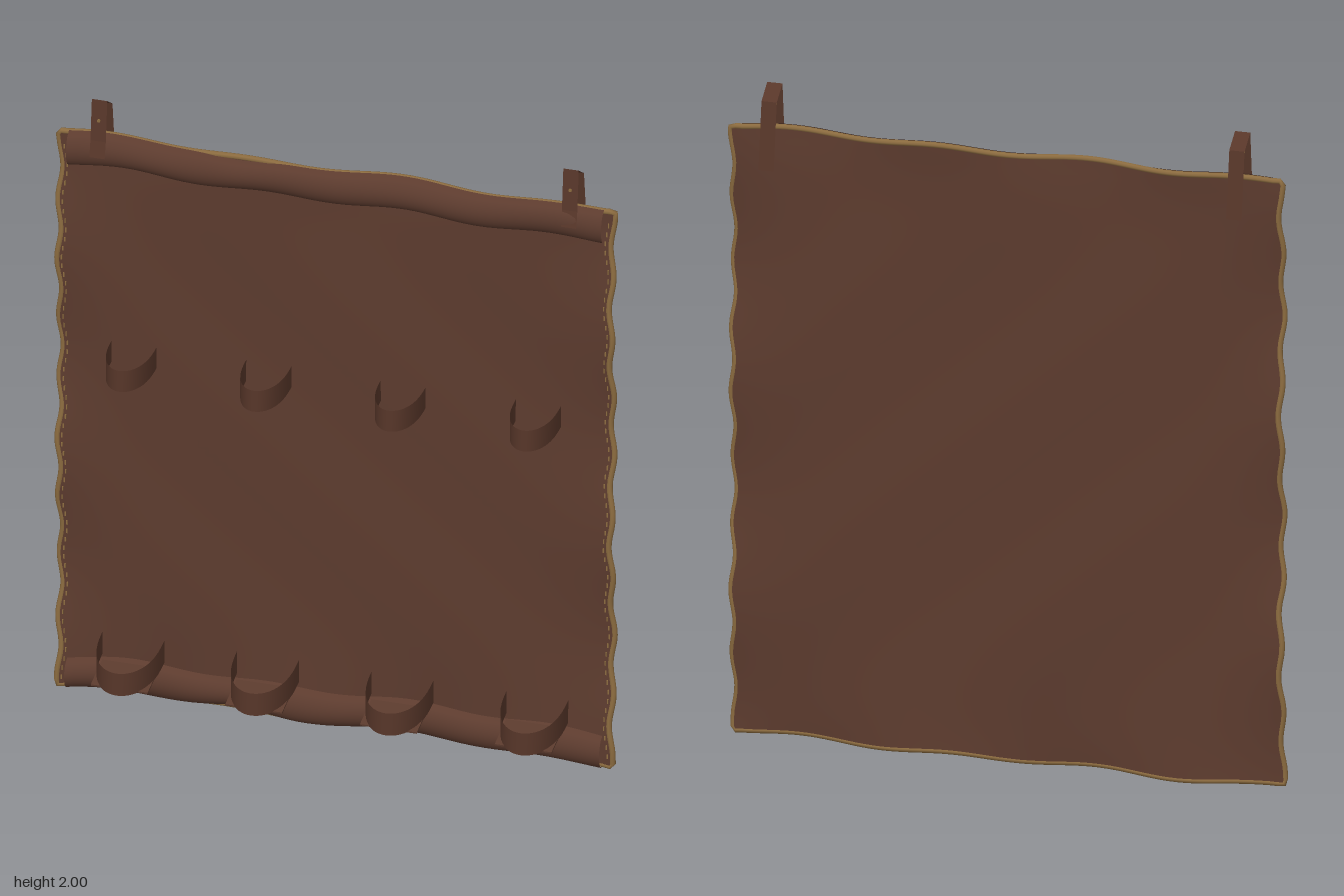
import * as THREE from 'three';

const TAU = Math.PI * 2;
const leather = new THREE.MeshStandardMaterial({ name: 'brown leather', color: 0x5c3b2e, side: THREE.DoubleSide });
const strapLeather = new THREE.MeshStandardMaterial({ name: 'dark strap leather', color: 0x573629, side: THREE.DoubleSide });
const tan = new THREE.MeshStandardMaterial({ name: 'tan raw edge', color: 0x8b6b3f });

// Outline and gentle waviness of the sheet
const topY = x => 1.866 + 0.006 * Math.cos(TAU * (x + 0.25) / 0.45);
const bottomY = x => 0.021 + 0.006 * Math.cos(TAU * (x + 0.28) / 0.45);
const halfWidth = y => 0.824 + 0.006 * Math.sin(TAU * y / 0.2);
function sheetZ(x, y) {
  const side = Math.min(1, Math.abs(x / 0.83)) ** 8;
  const end = Math.min(1, Math.abs((y - 0.94) / 0.92)) ** 8;
  return -0.058 + 0.003 * Math.cos(TAU * (x / 0.8 + y / 0.7))
    + side * (0.012 + 0.011 * Math.cos(TAU * (y - 1.5) / 0.7))
    + end * 0.013 * Math.cos(TAU * (x + 0.2) / 0.8);
}
function sheetPoint(u, v, dz = 0) {
  const s = 2 * u - 1;
  const y = THREE.MathUtils.lerp(bottomY(s * 0.824), topY(s * 0.824), v);
  const x = s * halfWidth(y);
  return new THREE.Vector3(x, y, sheetZ(x, y) + dz);
}

// Grid surface from a rule (u, v) -> point
function surface(rule, nu, nv) {
  const pos = [], idx = [];
  for (let j = 0; j <= nv; j++)
    for (let i = 0; i <= nu; i++) pos.push(...rule(i / nu, j / nv).toArray());
  for (let j = 0; j < nv; j++)
    for (let i = 0; i < nu; i++) {
      const a = j * (nu + 1) + i, b = a + 1, c = a + nu + 1, d = c + 1;
      idx.push(a, b, d, a, d, c);
    }
  const g = new THREE.BufferGeometry();
  g.setAttribute('position', new THREE.Float32BufferAttribute(pos, 3));
  g.setIndex(idx);
  g.computeVertexNormals();
  return g;
}

export function createModel() {
  const model = new THREE.Group();
  model.name = 'leatherWallRoll';
  const add = (name, geometry, material, parent = model) => {
    const mesh = new THREE.Mesh(geometry, material);
    mesh.name = name;
    parent.add(mesh);
    return mesh;
  };

  // Main sheet, front and back skins
  add('sheetFront', surface((u, v) => sheetPoint(u, v), 60, 80), leather);
  add('sheetBack', surface((u, v) => sheetPoint(1 - u, v, -0.014), 60, 80), leather);

  // Raw edge running round the sheet
  const rim = [];
  const n = 64;
  for (let i = 0; i < n; i++) rim.push(sheetPoint(i / n, 0, -0.007));
  for (let i = 0; i < n; i++) rim.push(sheetPoint(1, i / n, -0.007));
  for (let i = 0; i < n; i++) rim.push(sheetPoint(1 - i / n, 1, -0.007));
  for (let i = 0; i < n; i++) rim.push(sheetPoint(0, 1 - i / n, -0.007));
  add('rawEdge', new THREE.TubeGeometry(new THREE.CatmullRomCurve3(rim, true), 400, 0.009, 8, true), tan);

  // Rolled hems at top and bottom, pulled back a little to bare the edge
  const bare = x => 0.014 * Math.exp(-(((x + 0.28) / 0.1) ** 2));
  const hem = (low, high, bulge) => surface((u, v) => {
    const x = 1.6 * u - 0.8;
    const y = THREE.MathUtils.lerp(low(x), high(x), v);
    return new THREE.Vector3(x, y, sheetZ(x, y) + bulge * Math.sqrt(Math.sin(Math.PI * Math.min(1, v))  + 1e-6));
  }, 60, 12);
  add('topHem', hem(x => 1.767 - 0.007 * Math.cos(TAU * x / 0.42), x => topY(x) + 0.008 - bare(x), 0.034), leather);
  add('bottomHem', hem(x => bottomY(x) - 0.008 + bare(x), x => 0.12 + 0.007 * Math.cos(TAU * (x + 0.2) / 0.42), 0.034), leather);

  // Stitching down both sides
  const stitches = new THREE.Group();
  stitches.name = 'sideStitching';
  model.add(stitches);
  const stitch = new THREE.BoxGeometry(0.004, 0.014, 0.004);
  for (const side of [-1, 1])
    for (let y = 0.05; y < 1.85; y += 0.03) {
      const x = side * (halfWidth(y) - 0.014);
      add('stitch', stitch, tan, stitches).position.set(x, y, sheetZ(x, y) + 0.001);
    }

  // U-shaped holder loops; drop lowers the front of the loop
  const loop = (width, y0, y1, back, front, drop) => surface((u, v) => {
    const a = Math.PI * u;
    const f = Math.sin(a) ** 0.75;
    return new THREE.Vector3(-Math.cos(a) * width / 2,
      THREE.MathUtils.lerp(y0, y1, v) - drop * f, THREE.MathUtils.lerp(back, front, f));
  }, 28, 1);
  for (const x of [-0.605, -0.203, 0.2, 0.603]) {
    add('upperLoop', loop(0.135, 1.12, 1.19, -0.06, 0.1, 0), strapLeather).position.x = x;
    add('lowerLoop', loop(0.185, 0.138, 0.212, -0.05, 0.13, 0.022), strapLeather).position.x = x;
    // Floor of the lower holder
    const floor = add('lowerLoopFloor', new THREE.BoxGeometry(0.17, 0.005, 0.12), leather);
    floor.position.set(x, 0.127, 0.04);
    floor.rotation.x = 0.12;
  }

  // Hanging straps folded over the top edge
  const path = [[-0.018, 1.82], [-0.03, 1.87], [-0.045, 2], [-0.1, 1.96], [-0.13, 1.76]];
  for (const x of [-0.705, 0.705]) {
    const g = surface((u, v) => {
      const [z, y] = path[Math.round(v * 4)];
      return new THREE.Vector3((u - 0.5) * 0.046, y, z);
    }, 1, 4).toNonIndexed();
    g.computeVertexNormals();
    add('hangingStrap', g, strapLeather).position.x = x;
    // Rivet on the front of each strap
    const rivet = add('strapRivet', new THREE.CylinderGeometry(0.005, 0.005, 0.006, 10), tan);
    rivet.rotation.x = Math.PI / 2;
    rivet.position.set(x, 1.935, -0.037);
  }
  return model;
}
